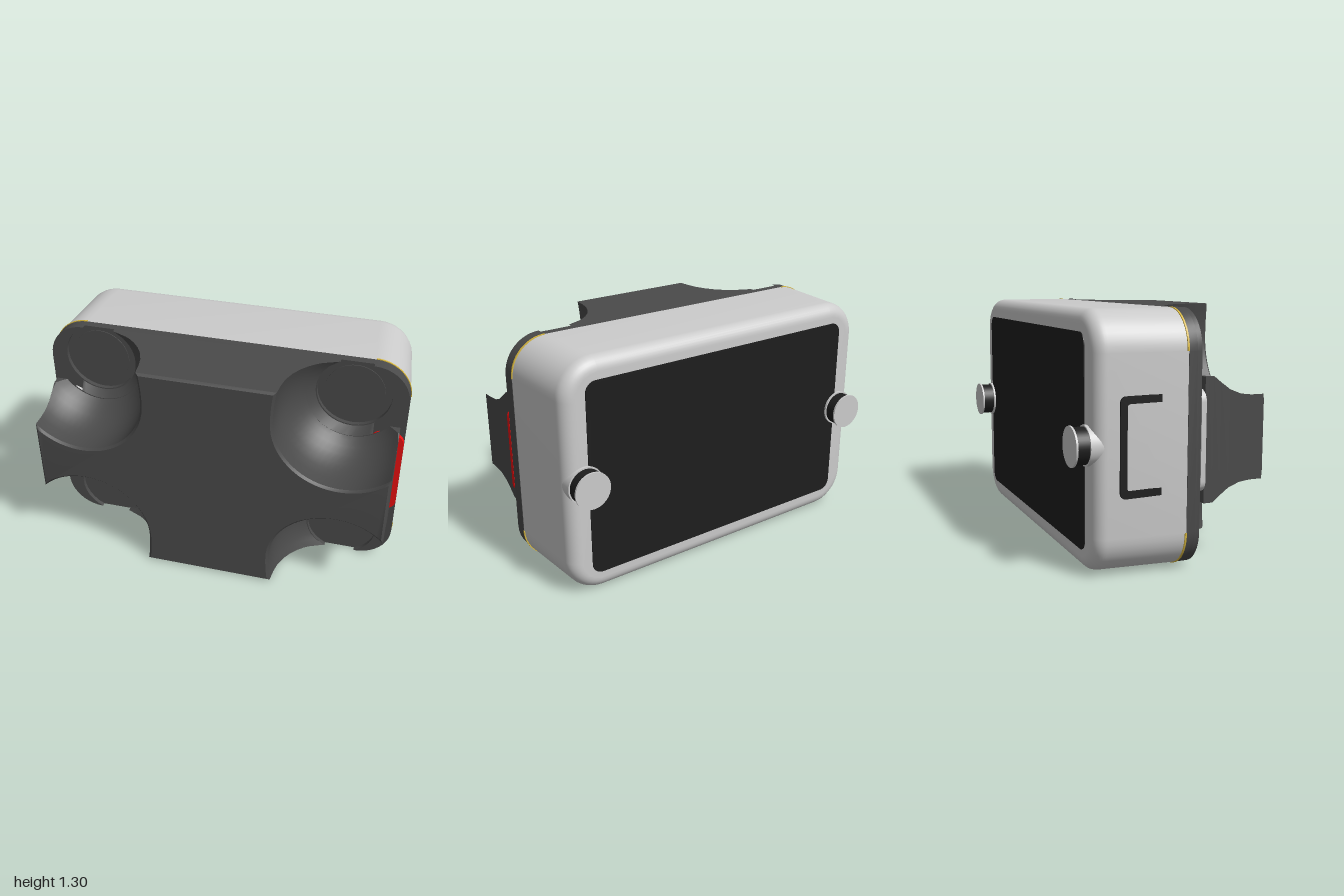
import * as THREE from 'three';
import { toCreasedNormals } from 'three/addons/utils/BufferGeometryUtils.js';

const CY = 0.645;                 // mid height, also half the height
const SCOOP = { x: 0.71, y: 0.465, r: 0.36, z: 0.42 }; // relative to mid height

const mat = (color) => new THREE.MeshStandardMaterial({ color });
const grey = mat(0xcccccc), dark = mat(0x4a4a4a), black = mat(0x1e1e1e);
const red = mat(0xee1010), gold = mat(0xd8b840);

export function createModel() {
  const model = new THREE.Group();
  const body = new THREE.Group();
  body.name = 'body';
  body.position.y = CY;
  model.add(body);

  const add = (name, geometry, material, x = 0, y = 0, z = 0) => {
    const mesh = new THREE.Mesh(geometry, material);
    mesh.name = name;
    mesh.position.set(x, y, z);
    body.add(mesh);
    return mesh;
  };

  // Rear shell: tapers in width and rolls over into the back face
  const shell = [];
  for (let i = 0; i <= 8; i++) {
    const a = (i / 8) * Math.PI / 2, inset = 0.07 * (1 - Math.sin(a));
    shell.push({ z: -0.345 - 0.07 * Math.cos(a), pts: roundedRing(0.968 - inset, CY - inset, 0.2 - inset) });
  }
  shell.push({ z: 0.055, pts: roundedRing(0.998, CY, 0.2) });
  add('rearShell', loft(shell), grey);
  add('backPanel', extrude(roundedShape(0.84, 0.535, 0.06), 0.006), black, 0, 0, -0.419);

  // Front plate, its raised layer notched around each scoop
  add('frontPlate', extrude(roundedShape(1, CY, 0.2), 0.046), dark, 0, 0, 0.055);
  add('frontPlateRim', extrude(notchedShape(0.2), 0.025), dark, 0, 0, 0.1);

  // Front block with four spherical scoops and a groove on each side
  const block = [];
  for (const [z, w] of [[0.124, 0.83], [0.162, 0.83], [0.162, 0.97], [0.18, 0.97], [0.21, 0.97],
    [0.25, 0.97], [0.3, 0.97], [0.36, 0.97], [0.42, 0.97], [0.488, 0.97]]) {
    block.push({ z, pts: blockRing(z, w, 0) });
  }
  block.push({ z: 0.5, pts: blockRing(0.5, 0.97, 0.012) });
  add('frontBlock', loft(block), dark);

  // Side window frame
  const frame = roundedShape(0.155, 0.245, 0.03);
  frame.holes.push(new THREE.Path(roundedRing(0.118, 0.208, 0.015)));
  const windowFrame = add('sideWindowFrame', extrude(frame, 0.008), black, -0.985, 0, -0.145);
  windowFrame.rotation.y = -Math.PI / 2 + Math.atan(0.03 / 0.4);

  for (const s of [-1, 1]) {
    // Strips in the side grooves
    add(s > 0 ? 'leftStrip' : 'rightStrip', extrude(roundedShape(0.09, 0.255, 0.06), 0.026),
      s > 0 ? red : grey, s * 0.91, 0, 0.128);

    // Knobs on the back
    const knob = (name, r, z0, z1, material) => {
      const g = new THREE.CylinderGeometry(r, r, z1 - z0, 40).rotateX(Math.PI / 2);
      add(name, g, material, s * 0.865, 0, (z0 + z1) / 2);
    };
    knob('knobBase', 0.1, -0.43, -0.25, grey);
    knob('knobGrip', 0.092, -0.492, -0.43, black);
    knob('knobCap', 0.1, -0.502, -0.492, grey);

    for (const t of [-1, 1]) {
      // Flat pad at the bottom of each scoop
      const pad = new THREE.CylinderGeometry(0.16, 0.16, 0.012, 40).rotateX(Math.PI / 2);
      add('scoopPad', pad, dark, s * SCOOP.x, t * SCOOP.y, 0.1);

      // Thin seam around each corner
      const start = Math.atan2(t, s) - Math.PI / 4;
      const arc = new THREE.Shape();
      arc.absarc(0, 0, 0.203, start, start + Math.PI / 2, false);
      arc.absarc(0, 0, 0.19, start + Math.PI / 2, start, true);
      add('cornerSeam', extrude(arc, 0.009), gold, s * 0.8, t * (CY - 0.2), 0.047);
    }
  }
  return model;
}

function extrude(shape, depth) {
  const g = new THREE.ExtrudeGeometry(shape, { depth, bevelEnabled: false, curveSegments: 24 });
  return toCreasedNormals(g, 0.6);
}

// Rounded rectangle outline, counter-clockwise
function roundedRing(w, h, r, n = 10) {
  const pts = [];
  [[1, 1], [-1, 1], [-1, -1], [1, -1]].forEach(([sx, sy], q) => {
    for (let i = 0; i <= n; i++) {
      const a = (q + i / n) * Math.PI / 2;
      pts.push(new THREE.Vector2(sx * (w - r) + r * Math.cos(a), sy * (h - r) + r * Math.sin(a)));
    }
  });
  return pts;
}

function roundedShape(w, h, r) {
  return new THREE.Shape(roundedRing(w, h, r));
}

// Repeats a first-quadrant outline in all four quadrants, counter-clockwise
function mirrorQuadrants(q) {
  const flip = (sx, sy) => q.map((p) => new THREE.Vector2(p.x * sx, p.y * sy));
  return [...q, ...flip(-1, 1).reverse(), ...flip(-1, -1), ...flip(1, -1).reverse()];
}

// Plate outline with a round bite at each scoop
function notchedShape(r) {
  const q = [];
  for (let i = 0; i <= 10; i++) {
    const a = (i / 10) * Math.PI / 2;
    q.push(new THREE.Vector2(0.8 + 0.2 * Math.cos(a), CY - 0.2 + 0.2 * Math.sin(a)));
  }
  const a0 = Math.asin((CY - SCOOP.y) / r);
  for (let i = 0; i <= 28; i++) {
    const a = a0 - (i / 28) * (Math.PI + 2 * a0);
    q.push(new THREE.Vector2(SCOOP.x + r * Math.cos(a), SCOOP.y + r * Math.sin(a)));
  }
  return new THREE.Shape(mirrorQuadrants(q));
}

// Cross-section of the front block at depth z with half width w
function blockRing(z, w, inset) {
  const dz = Math.min(0, z - SCOOP.z);
  const r = Math.sqrt(SCOOP.r ** 2 - dz * dz) + inset;
  const side = w - inset, top = CY - inset;
  const a0 = -Math.max(Math.acos(Math.min(1, (side - SCOOP.x) / r)), Math.asin(0.15 / r));
  const q = [new THREE.Vector2(side, SCOOP.y + r * Math.sin(a0))];
  for (let i = 0; i <= 24; i++) {
    const a = a0 + (i / 24) * (-Math.PI - a0);
    q.push(new THREE.Vector2(SCOOP.x + r * Math.cos(a) - (i ? 0 : 1e-4), SCOOP.y + r * Math.sin(a)));
  }
  // Beyond the scoop's centre the wall straightens towards the front
  const k = 1.1 - 2 * (z - 0.1);
  for (let i = 1; i <= 5; i++) {
    const t = (i / 5) * (top - SCOOP.y);
    q.push(new THREE.Vector2(SCOOP.x - Math.sqrt(r * r - k * t * t), SCOOP.y + t));
  }
  return mirrorQuadrants(q);
}

// Skins cross-sections listed by rising z and caps both ends
function loft(rings) {
  const n = rings[0].pts.length, last = (rings.length - 1) * n;
  const pos = [], index = [];
  for (const { z, pts } of rings) for (const p of pts) pos.push(p.x, p.y, z);
  for (let k = 0; k < last; k += n) {
    for (let i = 0; i < n; i++) {
      const j = (i + 1) % n;
      index.push(k + i, k + j, k + n + j, k + i, k + n + j, k + n + i);
    }
  }
  for (const [a, b, c] of THREE.ShapeUtils.triangulateShape(rings[0].pts, [])) index.push(c, b, a);
  for (const [a, b, c] of THREE.ShapeUtils.triangulateShape(rings.at(-1).pts, [])) {
    index.push(last + a, last + b, last + c);
  }
  const g = new THREE.BufferGeometry();
  g.setAttribute('position', new THREE.Float32BufferAttribute(pos, 3));
  g.setIndex(index);
  return toCreasedNormals(g, 0.6);
}
